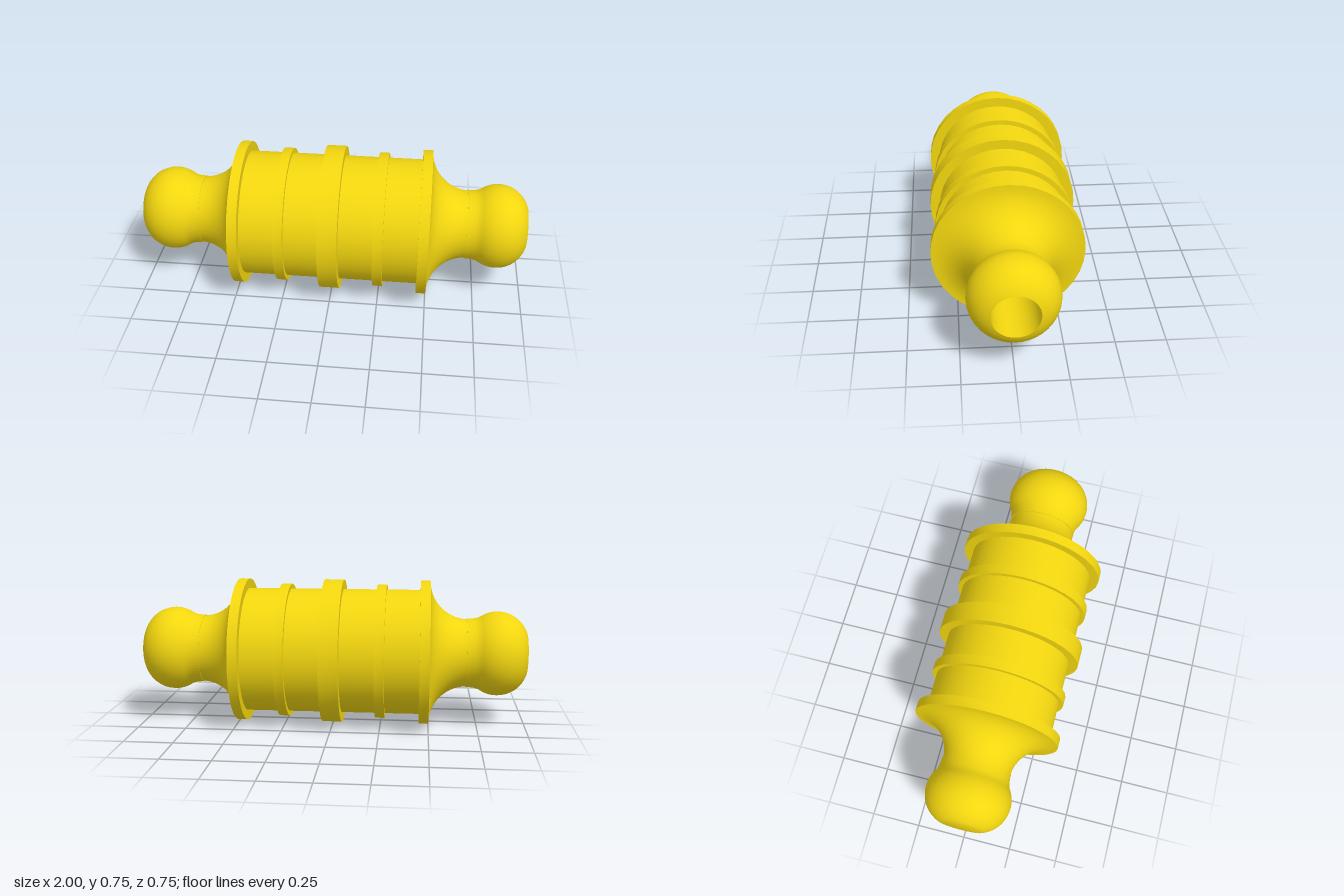
import * as THREE from 'three';
import { toCreasedNormals } from 'three/addons/utils/BufferGeometryUtils.js';

const SIDES = 36;
const AXIS_Y = 0.375;

export function createModel() {
  const group = new THREE.Group();
  const material = new THREE.MeshStandardMaterial({ color: 0xf2d60f });

  // Turned part about the x axis; points are [radius, distance along axis]
  function turned(name, points, mirrored = false) {
    const profile = points.map(([r, a]) => new THREE.Vector2(r, a));
    const geometry = toCreasedNormals(new THREE.LatheGeometry(profile, SIDES), 0.55);
    geometry.rotateZ(mirrored ? Math.PI / 2 : -Math.PI / 2);
    const mesh = new THREE.Mesh(geometry, material);
    mesh.name = name;
    mesh.position.y = AXIS_Y;
    group.add(mesh);
  }

  // Points on an arc; angle 0 points along the radius, 90 degrees along the axis
  function arc(radial, axial, size, from, to, steps) {
    const points = [];
    for (let i = 0; i <= steps; i++) {
      const t = from + (to - from) * i / steps;
      points.push([radial + size * Math.cos(t), axial + size * Math.sin(t)]);
    }
    return points;
  }

  const ring = (name, radius, centre, width) => turned(name, [
    [0.32, centre - width / 2], [radius, centre - width / 2],
    [radius, centre + width / 2], [0.32, centre + width / 2],
  ]);

  // Barrel and its raised bands
  turned('barrel', [[0.325, -0.46], [0.325, 0.46]]);
  ring('middleBand', 0.375, 0, 0.1);
  ring('leftBand', 0.35, 0.25, 0.05);
  ring('rightBand', 0.35, -0.25, 0.05);

  for (const mirrored of [false, true]) {
    const side = mirrored ? 'right' : 'left';

    // End flange sweeping down to the neck in a quarter circle
    turned(side + 'FlangeAndNeck', [
      [0.32, 0.45], [0.375, 0.45], [0.375, 0.5],
      ...arc(0.375, 0.7, 0.2, -Math.PI / 2, -Math.PI, 14),
    ], mirrored);

    // Rounded knob; the left one is bored, the right one is closed
    const end = mirrored ? [[0.113, 1], [0, 1]] : [[0.113, 1], [0.113, 0.7], [0, 0.7]];
    turned(side + 'Knob', [
      [0.17, 0.69], [0.179, 0.69], [0.179, 0.71], [0.182, 0.735], [0.188, 0.755],
      ...arc(0.059, 0.85, 0.1594, -0.55, 1.18, 18),
      ...end,
    ], mirrored);
  }

  return group;
}
